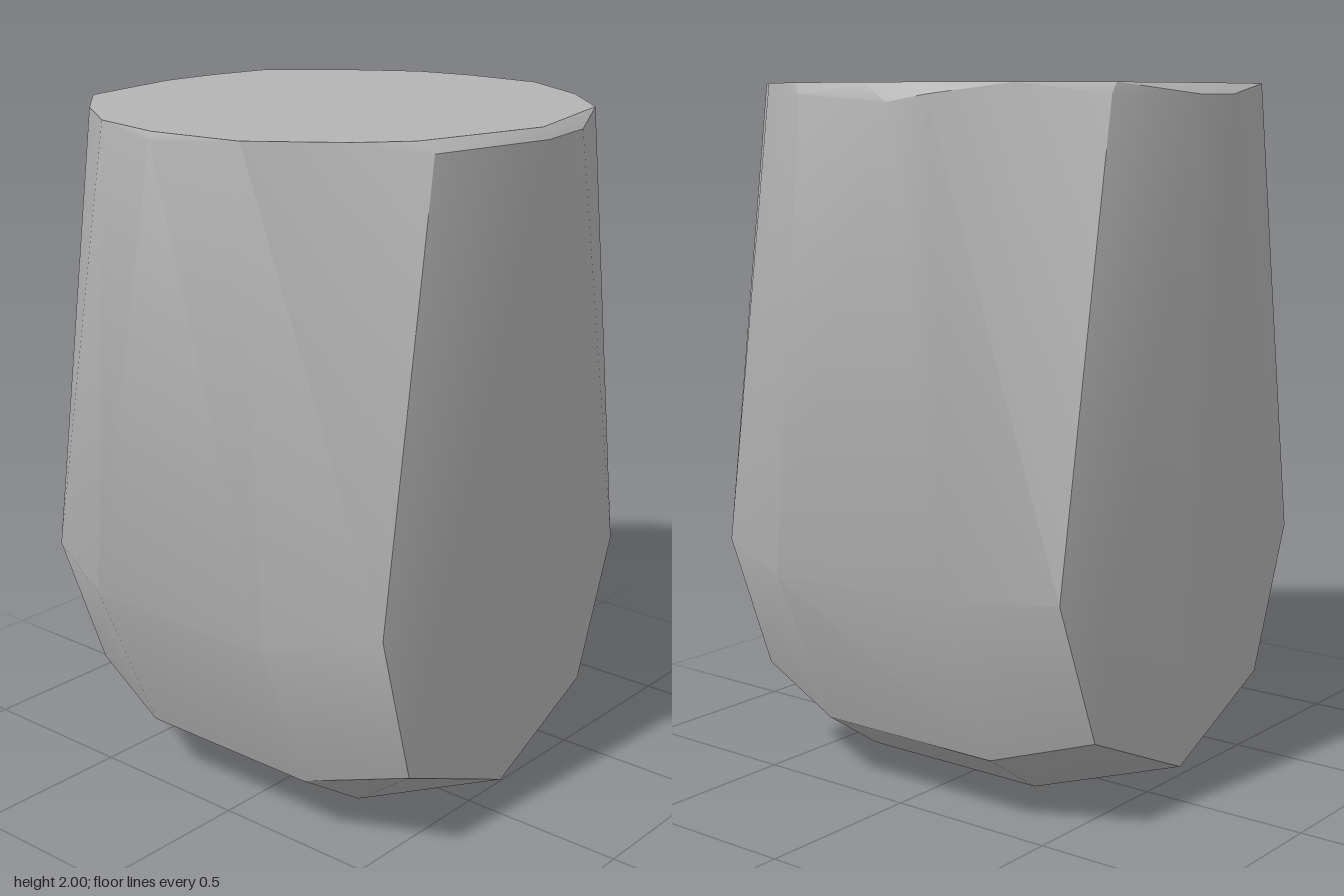
import * as THREE from 'three';
import { ConvexGeometry } from 'three/addons/geometries/ConvexGeometry.js';
import { toCreasedNormals } from 'three/addons/utils/BufferGeometryUtils.js';

export function createModel() {
  const group = new THREE.Group();
  const stone = new THREE.MeshStandardMaterial({ color: 0xb4b4b4 });
  stone.name = 'stone grey';

  const points = [];
  const ring = (y, list) => list.forEach(([x, z, dy = 0]) => points.push(new THREE.Vector3(x, y + dy, z)));

  // Flat round top
  ring(2, [
    [0, 0.68], [0.38, 0.59], [0.55, 0.41], [0.68, 0.18], [0.68, -0.06], [0.65, -0.23], [0.53, -0.43],
    [0.36, -0.62], [0.18, -0.66], [0, -0.675], [-0.35, -0.62], [-0.52, -0.45], [-0.65, -0.26], [-0.695, -0.03],
    [-0.66, 0.24], [-0.5, 0.46], [-0.38, 0.57],
  ]);
  // Worn rim just below the top
  ring(1.97, [
    [0, 0.7], [0.2, 0.67], [0.69, 0.18], [0.7, 0.15], [0.7, -0.15, -0.02], [0.67, -0.26],
    [0.38, -0.62], [0.1, -0.705], [-0.06, -0.705], [-0.27, -0.645], [-0.705, -0.03, 0.01], [-0.36, 0.61],
  ]);
  // Belt with four squared corners
  ring(0.65, [
    [0.68, 0.29], [0.68, -0.3, 0.03], [0.57, -0.605, 0.04], [-0.56, -0.61, 0.05],
    [-0.67, -0.33], [-0.67, 0.3], [-0.54, 0.605, 0.08], [0.56, 0.595, 0.04],
  ]);
  // Tapered keel, alike on both sides
  for (const s of [-1, 1]) {
    ring(0.19, [[0.485 * s, 0.28], [0.485 * s, -0.31]]);
    ring(0.28, [[0.41 * s, 0.595], [0.41 * s, -0.605]]);
    ring(0.05, [[0.27 * s, 0.3], [0.27 * s, -0.3]]);
  }
  ring(0.1, [[0.015, 0.6], [0, -0.61]]);
  ring(0, [[0, 0.38, 0.015], [0, -0.31]]);

  const block = new THREE.Mesh(toCreasedNormals(new ConvexGeometry(points), Math.PI / 6), stone);
  block.name = 'taperedBlock';
  group.add(block);
  return group;
}
